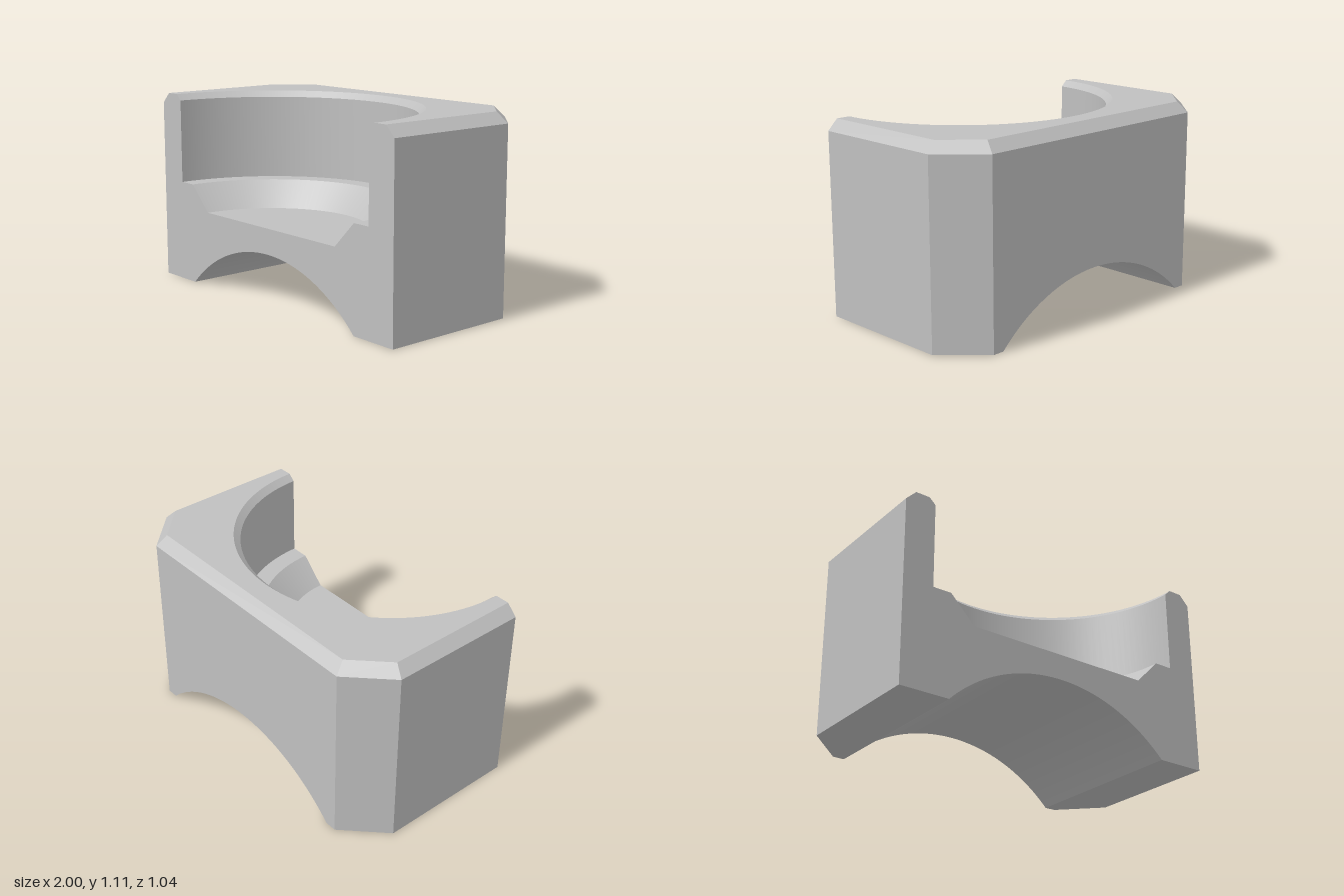
import * as THREE from 'three';

const H = 1.11, SHOULDER = 1.05, Z = 0.518;
const ARCH_R = 1, ARCH_X = 0.71, ARCH_A = Math.asin(ARCH_X / ARCH_R);
const ARCH_Y = -ARCH_R * Math.cos(ARCH_A);
const SEGS = 64;

// Stepped bore profile [radius, height], from the rim down to the floor centre
const BORE = [[0.857, H], [0.82, 1.075], [0.82, 0.59], [0.71, 0.59], [0.563, 0.443], [0, 0.443]];

// Plan outline [x, z] from front left round the back, and the same inset by the top bevel
const mirrorX = (pts) => [...pts, ...pts.slice().reverse().map(([x, y]) => [-x, y])];
const PLAN = mirrorX([[1, Z], [1, -0.295], [0.777, -Z]]);
const PLAN_TOP = mirrorX([[0.94, Z], [0.94, -0.27], [0.752, -Z + 0.06]]);

export function createModel() {
  const group = new THREE.Group();
  const grey = new THREE.MeshStandardMaterial({ color: 0xc0c0c0, side: THREE.DoubleSide });
  grey.name = 'plain grey';

  const add = (name, geometry) => {
    const mesh = new THREE.Mesh(geometry, grey);
    mesh.name = name;
    group.add(mesh);
    return mesh;
  };

  // Flat quads between two outlines at two heights
  const band = (low, y0, high, y1, skip = -1) => {
    const pos = [];
    for (let i = 0; i < low.length - 1; i++) {
      if (i === skip) continue;
      const a = [low[i][0], y0, low[i][1]], b = [low[i + 1][0], y0, low[i + 1][1]];
      const c = [high[i + 1][0], y1, high[i + 1][1]], d = [high[i][0], y1, high[i][1]];
      pos.push(...a, ...b, ...c, ...a, ...c, ...d);
    }
    const g = new THREE.BufferGeometry();
    g.setAttribute('position', new THREE.Float32BufferAttribute(pos, 3));
    g.computeVertexNormals();
    return g;
  };

  // Lower edge shared by the front and back faces, with the arch cut in
  const archedShape = (halfWidth) => {
    const s = new THREE.Shape();
    s.moveTo(-halfWidth, 0);
    s.lineTo(-ARCH_X, 0);
    s.absarc(0, ARCH_Y, ARCH_R, Math.PI / 2 + ARCH_A, Math.PI / 2 - ARCH_A, true);
    s.lineTo(halfWidth, 0);
    return s;
  };

  // Front section face
  const front = archedShape(1);
  mirrorX([[1, SHOULDER], [0.94, H], ...BORE.slice(0, -1)]).forEach(([x, y]) => front.lineTo(x, y));
  add('frontFace', new THREE.ShapeGeometry(front, SEGS / 2).translate(0, 0, Z));

  // Back wall
  const back = archedShape(PLAN[2][0]);
  back.lineTo(PLAN[2][0], SHOULDER);
  back.lineTo(-PLAN[2][0], SHOULDER);
  add('backWall', new THREE.ShapeGeometry(back, SEGS / 2).rotateY(Math.PI).translate(0, 0, -Z));

  // Side and corner walls, then the bevel round the top
  add('sideWalls', band(PLAN, 0, PLAN, SHOULDER, 2));
  add('topBevel', band(PLAN, SHOULDER, PLAN_TOP, H));

  // Top face with the half-round opening
  const top = new THREE.Shape();
  PLAN_TOP.forEach(([x, z], i) => (i ? top.lineTo(x, -z) : top.moveTo(x, -z)));
  top.lineTo(-BORE[0][0], -Z);
  top.absarc(0, -Z, BORE[0][0], Math.PI, 0, true);
  add('topFace', new THREE.ShapeGeometry(top, SEGS / 2).rotateX(-Math.PI / 2).translate(0, H, 0));

  // Half-round stepped bore, one band per step so its edges stay sharp
  ['boreRim', 'boreWall', 'boreLedge', 'boreCone', 'boreFloor'].forEach((name, i) => {
    const pts = [BORE[i], BORE[i + 1]].map(([r, y]) => new THREE.Vector2(r, y));
    add(name, new THREE.LatheGeometry(pts, SEGS, Math.PI / 2, Math.PI).translate(0, 0, Z));
  });

  // Arched underside
  const archLine = [new THREE.Vector2(ARCH_R, Z), new THREE.Vector2(ARCH_R, -Z)];
  add('archUnderside', new THREE.LatheGeometry(archLine, SEGS, Math.PI - ARCH_A, 2 * ARCH_A)
    .rotateX(Math.PI / 2).translate(0, ARCH_Y, 0));

  // Flat feet either side of the arch
  for (const s of [1, -1]) {
    const foot = new THREE.Shape([[ARCH_X, Z], [ARCH_X, -Z], ...PLAN.slice(0, 3).reverse()]
      .map(([x, z]) => new THREE.Vector2(s * x, z)));
    add(s > 0 ? 'leftFoot' : 'rightFoot', new THREE.ShapeGeometry(foot).rotateX(Math.PI / 2));
  }
  return group;
}
